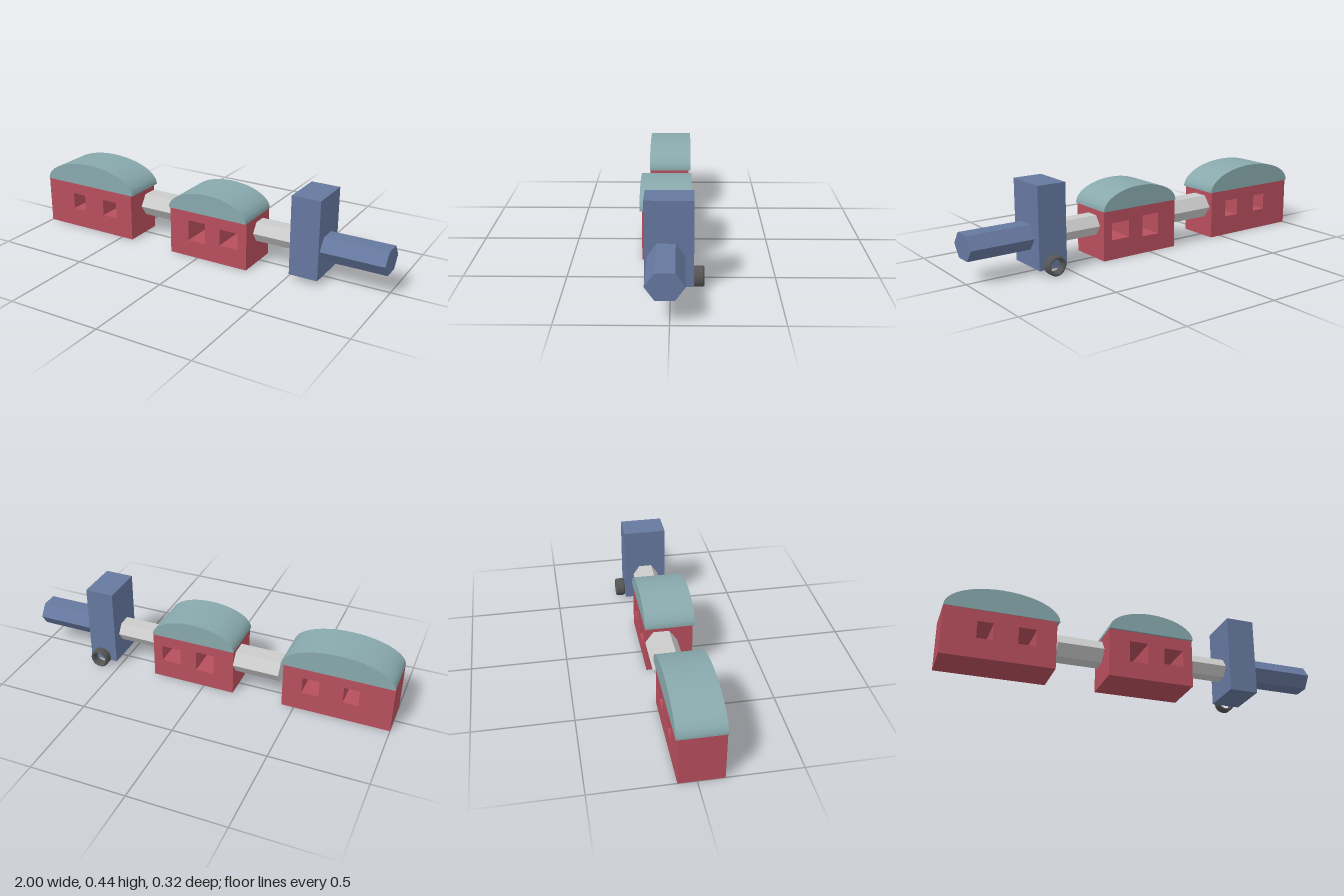
import * as THREE from 'three';
import { toCreasedNormals } from 'three/addons/utils/BufferGeometryUtils.js';

const mat = (color, flatShading = false) => new THREE.MeshStandardMaterial({ color, flatShading });
const red = mat(0xb84f5e);
const teal = mat(0x88a9ad);
const blue = mat(0x6678a0, true);
const grey = mat(0xcccccc, true);
const dark = mat(0x555555, true);

function addMesh(parent, name, geometry, material) {
  const mesh = new THREE.Mesh(geometry, material);
  mesh.name = name;
  parent.add(mesh);
  return mesh;
}

function rectangle(target, x0, x1, y0, y1) {
  return target.moveTo(x0, y0).lineTo(x1, y0).lineTo(x1, y1).lineTo(x0, y1).closePath();
}

// Extrude a front outline from z0 to z1
function extrude(shape, z0, z1) {
  const options = { depth: z1 - z0, bevelEnabled: false, curveSegments: 40 };
  return new THREE.ExtrudeGeometry(shape, options).translate(0, 0, z0);
}

// Wagon: body with windows cut right through, under a half-oval roof
function wagon(name, body, windows, roof) {
  const group = new THREE.Group();
  group.name = name;
  const outline = rectangle(new THREE.Shape(), body.x0, body.x1, 0, body.top);
  for (const w of windows) outline.holes.push(rectangle(new THREE.Path(), ...w));
  addMesh(group, 'body', extrude(outline, body.z0, body.z1), red);

  const arch = new THREE.Shape();
  arch.absellipse((roof.x0 + roof.x1) / 2, body.top, (roof.x1 - roof.x0) / 2, roof.top - body.top, 0, Math.PI);
  arch.closePath();
  addMesh(group, 'roof', toCreasedNormals(extrude(arch, roof.z0, roof.z1), 0.6), teal);
  return group;
}

// Slightly flattened six-sided bar along x, ridges facing front and back
function hexBar(parent, name, material, x0, x1, y, z, halfHeight, halfDepth) {
  const geometry = new THREE.CylinderGeometry(1, 1, x1 - x0, 6).rotateZ(Math.PI / 2);
  geometry.scale(1, halfHeight / Math.sin(Math.PI / 3), halfDepth);
  addMesh(parent, name, geometry, material).position.set((x0 + x1) / 2, y, z);
}

export function createModel() {
  const model = new THREE.Group();
  model.name = 'train';

  // Wagons
  model.add(wagon('rearWagon',
    { x0: -1, x1: -0.433, top: 0.256, z0: -0.09, z1: 0.13 },
    [[-0.83, -0.75, 0.105, 0.195], [-0.625, -0.535, 0.105, 0.195]],
    { x0: -1, x1: -0.42, top: 0.381, z0: -0.1, z1: 0.133 }));
  model.add(wagon('middleWagon',
    { x0: -0.165, x1: 0.288, top: 0.257, z0: -0.095, z1: 0.147 },
    [[-0.055, 0.045, 0.09, 0.203], [0.133, 0.238, 0.103, 0.192]],
    { x0: -0.167, x1: 0.289, top: 0.367, z0: -0.1, z1: 0.159 }));

  // Couplings
  hexBar(model, 'rearCoupling', grey, -0.41, -0.165, 0.178, -0.017, 0.059, 0.083);
  hexBar(model, 'frontCoupling', grey, 0.287, 0.52, 0.177, 0.008, 0.051, 0.069);

  // Engine: tall cab and boiler
  const cab = new THREE.BoxGeometry(0.153, 0.418, 0.229);
  addMesh(model, 'cab', cab, blue).position.set(0.592, 0.236, 0.007);
  hexBar(model, 'boiler', blue, 0.667, 1, 0.178, 0.02, 0.062, 0.088);

  // Wheel: open chamfered ring on the back of the cab
  const profile = [
    [0.034, -0.018], [0.04, -0.025], [0.044, -0.025], [0.05, -0.018],
    [0.05, 0.018], [0.044, 0.025], [0.04, 0.025], [0.034, 0.018], [0.034, -0.018],
  ].map(([r, h]) => new THREE.Vector2(r, h));
  const wheel = new THREE.LatheGeometry(profile, 24).rotateX(Math.PI / 2);
  addMesh(model, 'wheel', wheel, dark).position.set(0.597, 0.05, -0.132);

  return model;
}
